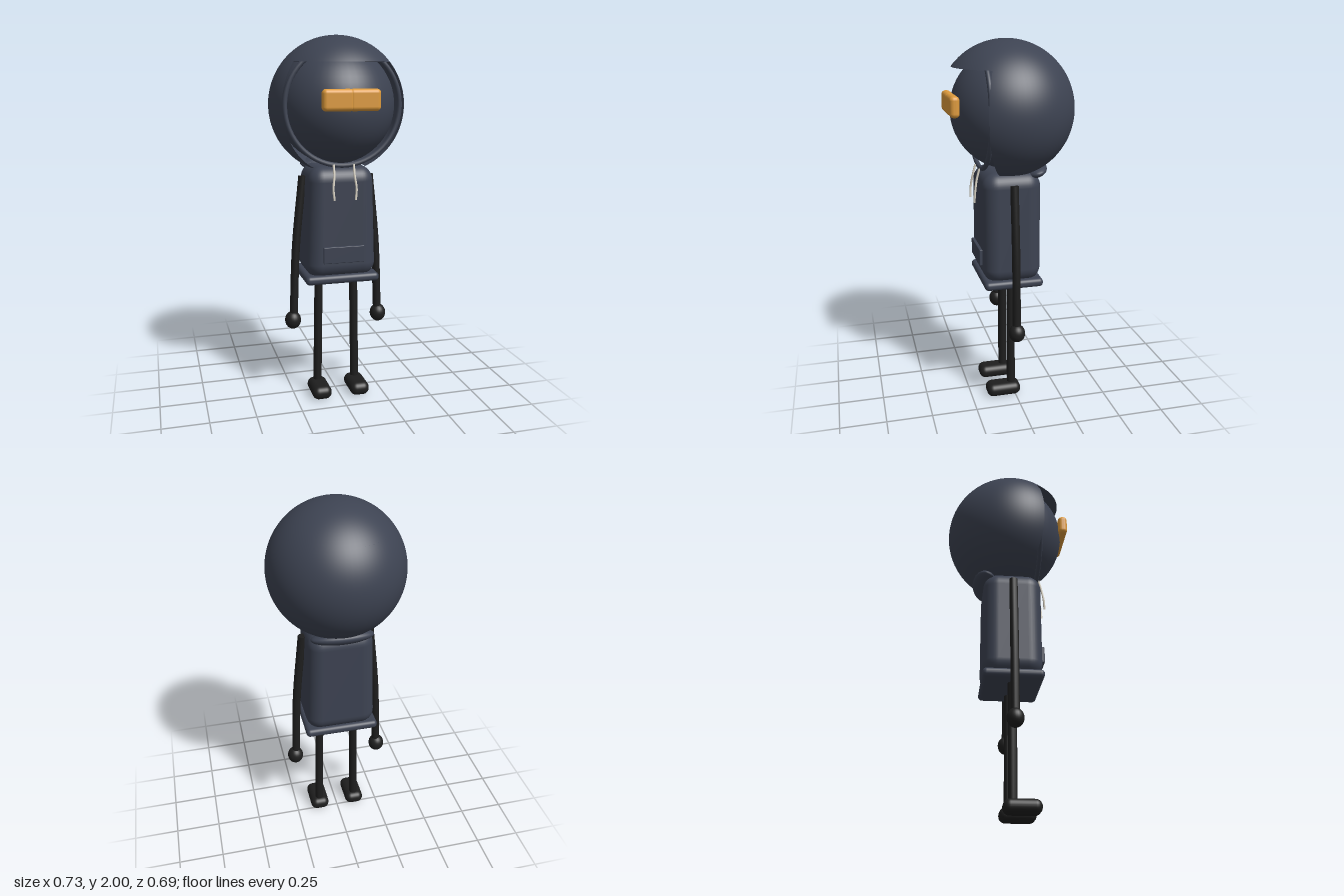
import * as THREE from 'three';
import { RoundedBoxGeometry } from 'three/addons/geometries/RoundedBoxGeometry.js';

function material(name, color, side = THREE.FrontSide) {
  const m = new THREE.MeshStandardMaterial({ color, side });
  m.name = name;
  return m;
}

export function createModel() {
  const root = new THREE.Group();
  root.name = 'hoodedFigure';
  const navy = material('navy cloth', 0x3d4352, THREE.DoubleSide);
  const black = material('black limbs', 0x1e1e1e);
  const amber = material('amber visor', 0xdd9a3c);
  const cream = material('cream cord', 0xd8d2c4);

  const add = (name, geometry, mat, x = 0, y = 0, z = 0, parent = root) => {
    const mesh = new THREE.Mesh(geometry, mat);
    mesh.name = name;
    mesh.position.set(x, y, z);
    parent.add(mesh);
    return mesh;
  };
  const box = (w, h, d, r) => new RoundedBoxGeometry(w, h, d, 5, r);
  const tube = (points, r, n = 24) => new THREE.TubeGeometry(
    new THREE.CatmullRomCurve3(points.map((p) => new THREE.Vector3(...p))), n, r, 12);

  // Head inside the hood
  const Z = 0.02, headY = 1.637, R = 0.363;
  add('face', new THREE.SphereGeometry(0.318, 48, 32), navy, 0, headY, 0);

  // Hood: full cap above the brim, open wedge at the front below it
  const hood = new THREE.Group();
  hood.name = 'hood';
  hood.position.set(0, headY, Z);
  root.add(hood);
  const brim = 0.91, half = 1.108;
  add('hoodCap', new THREE.SphereGeometry(R, 64, 16, 0, Math.PI * 2, 0, brim), navy, 0, 0, 0, hood);
  add('hoodShell', new THREE.SphereGeometry(R, 48, 32, Math.PI / 2 + half,
    Math.PI * 2 - 2 * half, brim, Math.PI - brim - 0.44), navy, 0, 0, 0, hood);
  const lip = add('brimUnderside', new THREE.RingGeometry(0.2, R * Math.sin(brim), 64),
    navy, 0, R * Math.cos(brim), 0, hood);
  lip.rotation.x = Math.PI / 2;
  add('hoodRim', new THREE.TorusGeometry(0.308, 0.013, 10, 64), navy, 0, 0, 0.145, hood);

  // Folded cloth at the nape
  const nape = add('napeFold', new THREE.SphereGeometry(1, 32, 20), navy, 0, 1.31, -0.122);
  nape.scale.set(0.17, 0.039, 0.076);
  nape.rotation.x = 0.3;

  // Visor in two halves
  for (const s of [1, -1]) {
    add('visorHalf', box(0.165, 0.11, 0.052, 0.022), amber, s * 0.069, 1.673, 0.317);
  }

  // Torso, widening towards the hem
  const torsoGeo = box(0.39, 0.61, 0.32, 0.08);
  const p = torsoGeo.attributes.position;
  for (let i = 0; i < p.count; i++) {
    const t = THREE.MathUtils.clamp((p.getY(i) + 0.305) / 0.61, 0, 1);
    p.setX(i, p.getX(i) * (1.01 - 0.11 * t));
  }
  add('torso', torsoGeo, navy, 0, 1.015, Z);
  add('hem', box(0.41, 0.048, 0.326, 0.022), navy, 0, 0.708, Z);
  add('pocket', box(0.226, 0.09, 0.02, 0.004), navy, 0, 0.85, 0.186);

  for (const s of [1, -1]) {
    // Drawstrings
    add('drawstring', tube([[s * 0.055, 1.335, 0.178], [s * 0.055, 1.28, 0.193],
      [s * 0.063, 1.21, 0.205], [s * 0.058, 1.15, 0.209]], 0.006), cream);

    // Arms and hands
    const arm = [[s * 0.188, 1.26, Z], [s * 0.228, 0.87, Z], [s * 0.246, 0.46, Z]];
    add('arm', tube(arm, 0.023), black);
    add('shoulderEnd', new THREE.CircleGeometry(0.023, 12), black, ...arm[0])
      .rotation.x = -Math.PI / 2;
    add('hand', new THREE.SphereGeometry(0.045, 24, 16), black, s * 0.25, 0.445, Z)
      .scale.y = 1.12;

    // Legs and feet
    add('leg', tube([[s * 0.1, 0.7, Z], [s * 0.106, 0.38, Z], [s * 0.11, 0.05, Z]], 0.024), black);
    add('foot', box(0.11, 0.075, 0.195, 0.036), black, s * 0.11, 0.0375, 0.067);
  }
  return root;
}
